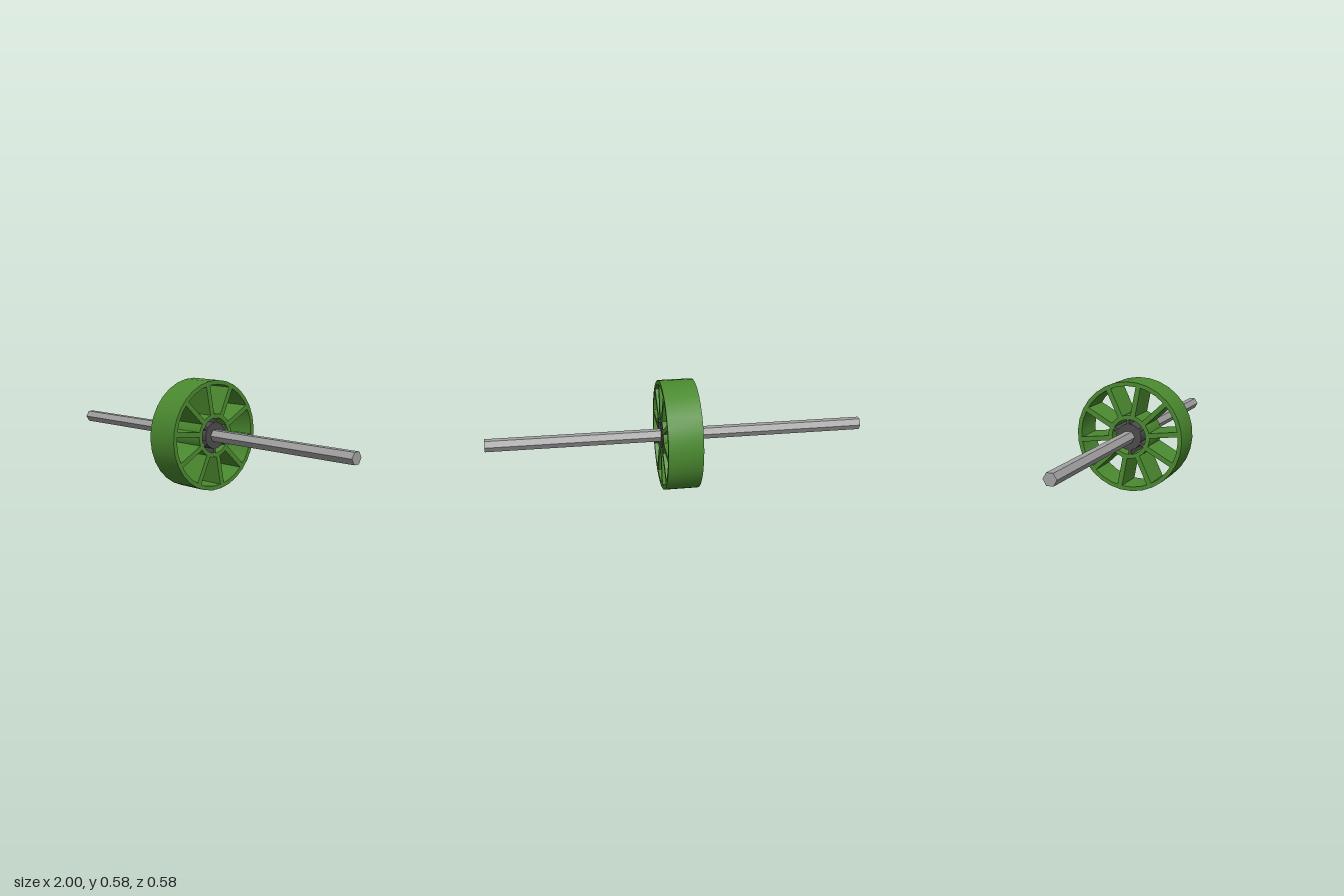
import * as THREE from 'three';
import { toCreasedNormals } from 'three/addons/utils/BufferGeometryUtils.js';

const WIDTH = 0.18;     // wheel width along the axle
const AXLE_Y = 0.29;    // height of the wheel centre
const rad = THREE.MathUtils.degToRad;

const material = (name, color) => {
  const m = new THREE.MeshStandardMaterial({ color });
  m.name = name;
  return m;
};

// Square-edged ring around the x axis
function ringGeometry(outer, inner, sides, startDeg) {
  const h = WIDTH / 2;
  const profile = [[outer, -h], [outer, h], [inner, h], [inner, -h], [outer, -h]]
    .map(([r, y]) => new THREE.Vector2(r, y));
  const g = new THREE.LatheGeometry(profile, sides, rad(startDeg));
  return toCreasedNormals(g.rotateZ(-Math.PI / 2), rad(40));
}

// Solid bar around the x axis
function barGeometry(radius, length, sides) {
  const g = new THREE.CylinderGeometry(radius, radius, length, sides);
  return toCreasedNormals(g.rotateZ(-Math.PI / 2), rad(40));
}

export function createModel() {
  const green = material('wheel green', 0x4b8a30);
  const grey = material('axle grey', 0xa3a3a3);
  const dark = material('hub dark grey', 0x4c4c4c);

  const model = new THREE.Group();
  model.name = 'wheelOnAxle';
  const wheel = new THREE.Group();
  wheel.name = 'wheel';
  wheel.position.y = AXLE_Y;
  model.add(wheel);

  const add = (name, geometry, mat) => {
    const mesh = new THREE.Mesh(geometry, mat);
    mesh.name = name;
    wheel.add(mesh);
    return mesh;
  };

  // Evenly spaced radial plates between two radii
  const addSpokes = (name, count, startDeg, from, to, thickness, width, mat) => {
    const g = new THREE.BoxGeometry(width, to - from, thickness);
    g.translate(0, (from + to) / 2, 0);
    for (let i = 0; i < count; i++) {
      add(name, g, mat).rotation.x = -rad(startDeg + (i * 360) / count);
    }
  };

  // Rim, hub ring and main spokes
  add('rim', ringGeometry(0.29, 0.268, 30, 3), green);
  add('hubRing', ringGeometry(0.115, 0.093, 24, 3), green);
  addSpokes('spoke', 10, -11, 0.113, 0.274, 0.026, WIDTH, green);

  // Dark hub core with its short ribs
  add('hubCore', barGeometry(0.0695, WIDTH, 20), dark);
  addSpokes('hubRib', 6, 4, 0.06, 0.096, 0.015, WIDTH - 0.002, dark);

  // Hexagonal axle
  add('axle', barGeometry(0.034, 2, 6), grey);

  return model;
}
